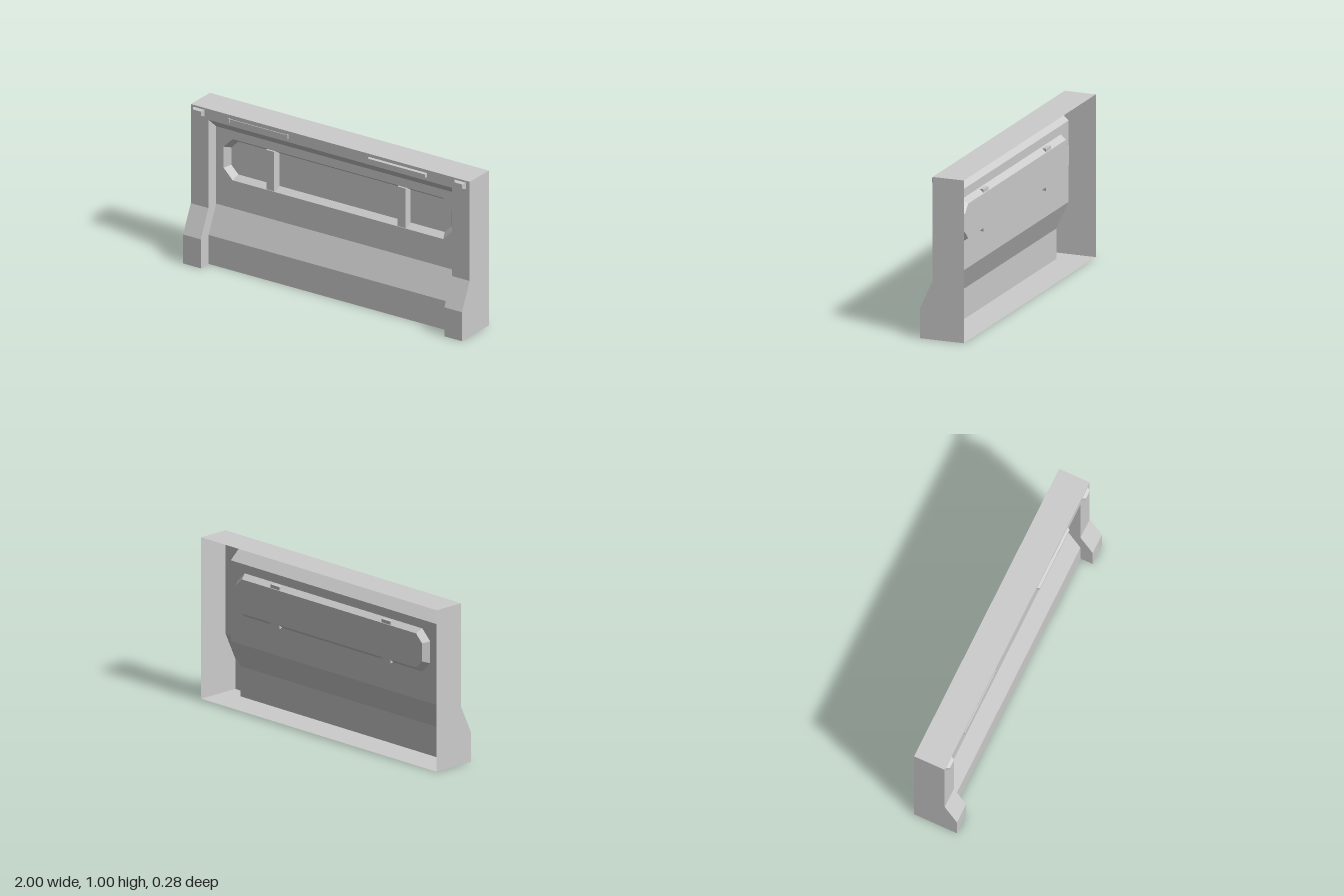
import * as THREE from 'three';

const BACK = -0.14, FACE = 0.06, FOOT = 0.14, WALL = -0.02, NICHE = -0.058;
const JAMB = 0.873;

export function createModel() {
  const group = new THREE.Group();
  group.name = 'wallPanel';
  const grey = new THREE.MeshStandardMaterial({ color: 0xcccccc, side: THREE.DoubleSide });
  grey.name = 'panelGrey';

  const add = (name, geometry) => {
    const mesh = new THREE.Mesh(geometry, grey);
    mesh.name = name;
    group.add(mesh);
    return mesh;
  };

  // Unshared quads, each [a, b, c, d] counter-clockwise from its front
  const quads = (list) => {
    const pos = [];
    for (const [a, b, c, d] of list) pos.push(...a, ...b, ...c, ...a, ...c, ...d);
    const g = new THREE.BufferGeometry();
    g.setAttribute('position', new THREE.Float32BufferAttribute(pos, 3));
    g.computeVertexNormals();
    return g;
  };

  // Sheet swept along x from a [y, z] profile that runs upward
  const sheet = (profile, x0, x1) => quads(profile.slice(1).map(([y, z], i) => {
    const [py, pz] = profile[i];
    return [[x0, py, pz], [x1, py, pz], [x1, y, z], [x0, y, z]];
  }));

  // Flat outline of [z, y] points standing across x
  const across = (points, x) => {
    const shape = new THREE.Shape(points.map(([z, y]) => new THREE.Vector2(z, y)));
    return new THREE.ShapeGeometry(shape).rotateY(-Math.PI / 2).translate(x, 0, 0);
  };

  // Rectangle with cut corners
  const octagon = (x, y0, y1, c) => [
    [-x + c, y0], [x - c, y0], [x, y0 + c], [x, y1 - c],
    [x - c, y1], [-x + c, y1], [-x, y1 - c], [-x, y0 + c],
  ];

  // Block whose front face is inset on all sides
  const taperedBlock = (x0, x1, y0, y1, z0, z1, ix, iy) => {
    const g = new THREE.BoxGeometry(x1 - x0, y1 - y0, z1 - z0).toNonIndexed();
    const p = g.attributes.position;
    for (let i = 0; i < p.count; i++) {
      if (p.getZ(i) > 0) {
        p.setX(i, p.getX(i) - Math.sign(p.getX(i)) * ix);
        p.setY(i, p.getY(i) - Math.sign(p.getY(i)) * iy);
      }
    }
    g.computeVertexNormals();
    return g.translate((x0 + x1) / 2, (y0 + y1) / 2, (z0 + z1) / 2);
  };

  // Side walls, front posts with feet, and jambs
  const post = [[0, FOOT], [0.187, FOOT], [0.36, FACE], [1, FACE]];
  for (const s of [-1, 1]) {
    const side = s > 0 ? 'left' : 'right';
    add(side + 'SideWall', across([[BACK, 0], ...post.map(([y, z]) => [z, y]), [BACK, 1]], s));
    add(side + 'Post', sheet(post, s > 0 ? JAMB : -1, s > 0 ? 1 : -JAMB));
    add(side + 'Jamb', across([[FOOT, 0], [FOOT, 0.187], [FACE, 0.36], [FACE, 0.93],
      [WALL, 0.86], [WALL, 0.36], [FACE, 0.187], [FACE, 0]], s * JAMB));
    // Floor under each foot
    const [a, b] = s > 0 ? [JAMB, 1] : [-1, -JAMB];
    add(side + 'FootSole', sheet([[0, FACE], [0, FOOT]], a, b));
  }

  // Header, top and floor, leaving the back open
  add('header', sheet([[0.93, FACE], [1, FACE]], -JAMB, JAMB));
  add('top', sheet([[1, FACE], [1, BACK]], -1, 1));
  add('floor', sheet([[0, BACK], [0, FACE]], -1, 1));

  // Recessed wall: lower skirt, flat field with opening, sloped soffit
  add('skirt', sheet([[0, FACE], [0.187, FACE], [0.36, WALL]], -JAMB, JAMB));
  add('soffit', sheet([[0.86, WALL], [0.93, FACE]], -JAMB, JAMB));
  const outer = octagon(0.82, 0.54, 0.806, 0.065);
  const inner = octagon(0.79, 0.568, 0.78, 0.05);
  const vectors = (pts) => pts.map(([x, y]) => new THREE.Vector2(x, y));
  const field = new THREE.Shape(vectors([[-JAMB, 0.36], [JAMB, 0.36], [JAMB, 0.86], [-JAMB, 0.86]]));
  field.holes.push(new THREE.Path(vectors(outer)));
  add('wallField', new THREE.ShapeGeometry(field).translate(0, 0, WALL));

  // Niche: bevelled rim and back plate
  add('nicheRim', quads(outer.map((p, i) => {
    const j = (i + 1) % 8;
    return [[...p, WALL], [...outer[j], WALL], [...inner[j], NICHE], [...inner[i], NICHE]];
  })));
  add('nicheBack', new THREE.ShapeGeometry(new THREE.Shape(vectors(inner))).translate(0, 0, NICHE));

  // Upright bars across the niche
  for (const x of [-0.4825, 0.46]) {
    add('nicheBar', taperedBlock(x - 0.038, x + 0.038, 0.543, 0.803, -0.055, -0.015, 0.01, 0.002));
  }

  // Corner studs
  for (const x of [-0.942, 0.932]) {
    add('cornerStud', taperedBlock(x - 0.04, x + 0.04, 0.945, 0.988, FACE, 0.08, 0.012, 0.008));
  }

  // Header strips: one raised, one nearly flush with end caps
  add('raisedStrip', taperedBlock(0.275, 0.695, 0.952, 0.98, FACE, 0.075, 0.005, 0.005));
  add('flushStrip', taperedBlock(-0.725, -0.305, 0.957, 0.975, FACE, 0.063, 0.001, 0.001));
  for (const x of [-0.725, -0.305]) {
    add('stripEndCap', taperedBlock(x - 0.005, x + 0.005, 0.952, 0.98, FACE, 0.066, 0.001, 0.001));
  }
  return group;
}
